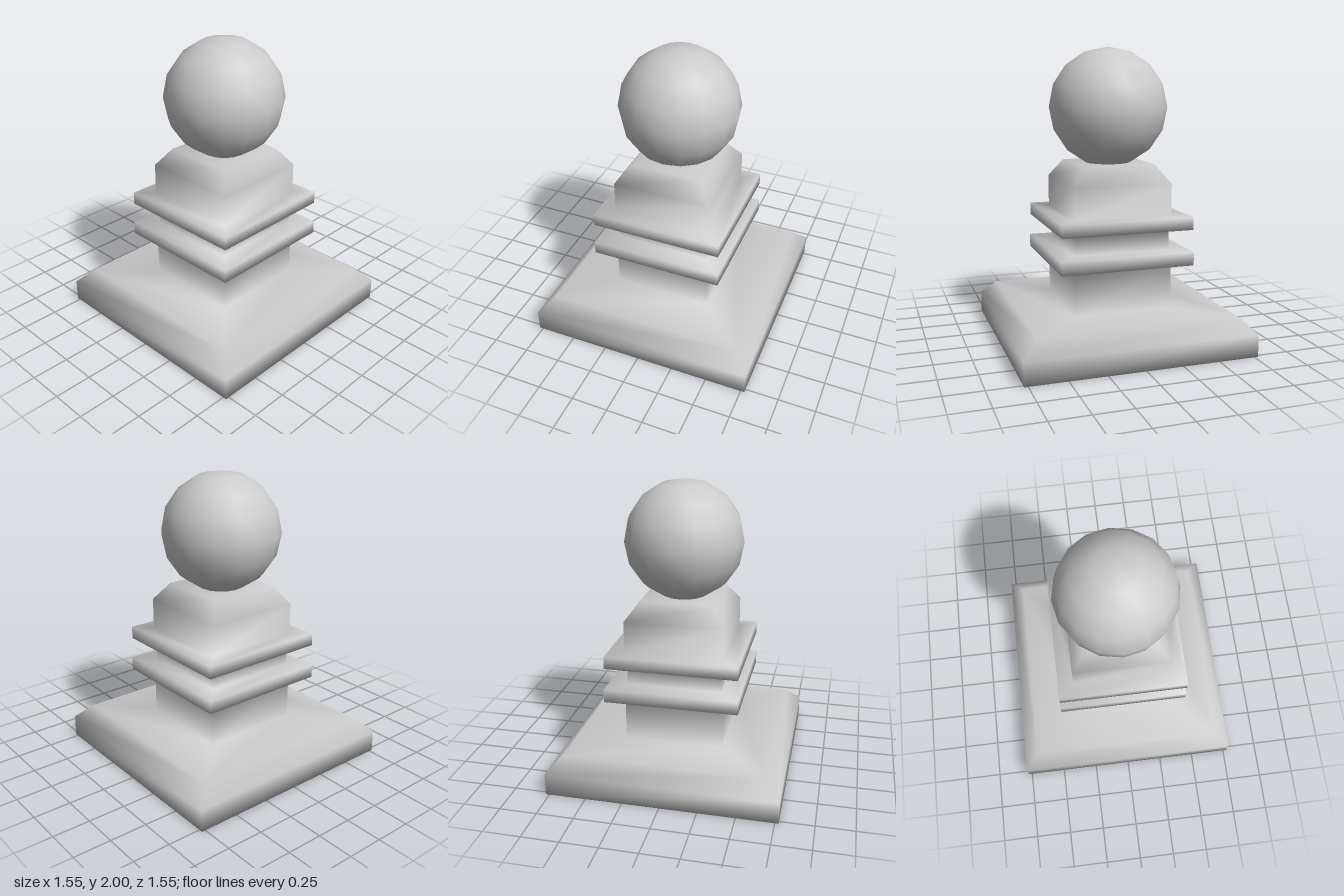
import * as THREE from 'three';

// Square rings stacked from bottom to top: [half width, height]
const PROFILE = [
  [0.775, 0], [0.775, 0.15], [0.675, 0.25],   // bevelled base
  [0.337, 0.25], [0.337, 0.56],               // lower stem
  [0.453, 0.56], [0.453, 0.65],               // lower collar
  [0.325, 0.65], [0.322, 0.80],               // neck
  [0.448, 0.80], [0.448, 0.885],              // upper collar
  [0.337, 0.885], [0.337, 1.10], [0.25, 1.22] // bevelled head block
];

// Joins the rings into one closed skin with shared, smoothly shaded corners
function squareStack(profile) {
  const corners = [[1, 1], [1, -1], [-1, -1], [-1, 1]];
  const positions = [];
  const index = [];
  for (const [r, y] of profile) {
    for (const [x, z] of corners) positions.push(x * r, y, z * r);
  }
  for (let i = 0; i < profile.length - 1; i++) {
    for (let j = 0; j < 4; j++) {
      const a = i * 4 + j;
      const b = i * 4 + (j + 1) % 4;
      index.push(a, b, b + 4, a, b + 4, a + 4);
    }
  }
  // Bottom and top caps
  const t = (profile.length - 1) * 4;
  index.push(0, 2, 1, 0, 3, 2, t, t + 1, t + 2, t, t + 2, t + 3);

  const geometry = new THREE.BufferGeometry();
  geometry.setAttribute('position', new THREE.Float32BufferAttribute(positions, 3));
  geometry.setIndex(index);
  geometry.computeVertexNormals();
  return geometry;
}

export function createModel() {
  const group = new THREE.Group();
  group.name = 'pawn';
  const material = new THREE.MeshStandardMaterial({ color: 0xcccccc });

  const body = new THREE.Mesh(squareStack(PROFILE), material);
  body.name = 'body';

  // Ball sunk slightly into the head block
  const ball = new THREE.Mesh(new THREE.SphereGeometry(0.405, 16, 8), material);
  ball.name = 'ball';
  ball.position.y = 1.595;

  group.add(body, ball);
  return group;
}
